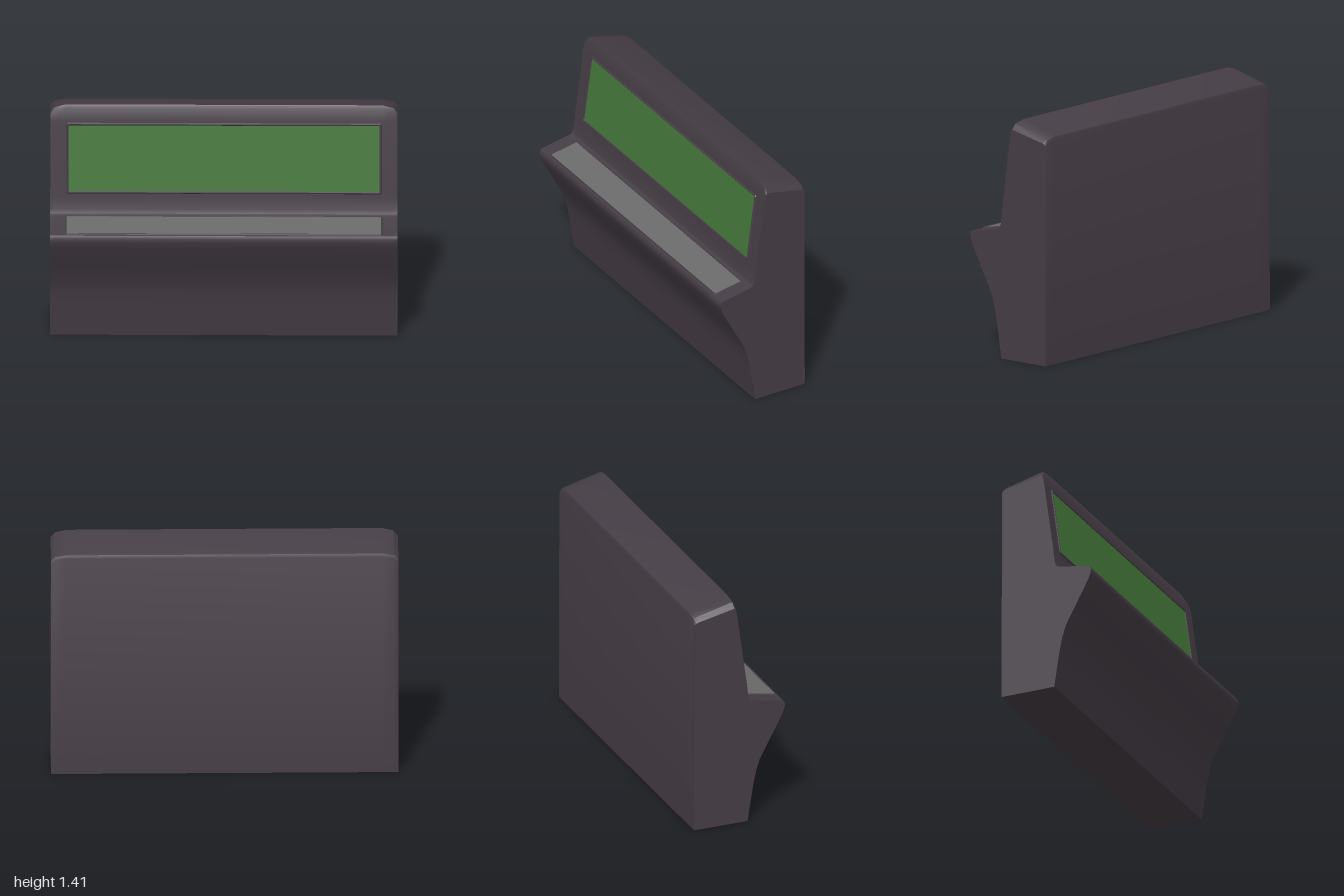
import * as THREE from 'three';
import { toCreasedNormals } from 'three/addons/utils/BufferGeometryUtils.js';

const mat = (name, color) => {
  const m = new THREE.MeshStandardMaterial({ color });
  m.name = name;
  return m;
};

// Side outline as [z, y, drop weight at the clipped top corners]
const OUTLINE = [
  [0.052, 0, 0], [0.075, 0.15, 0], [0.09, 0.24, 0], [0.105, 0.31, 0], [0.128, 0.38, 0],
  [0.2, 0.513, 0], [0.268, 0.64, 0], [0.283, 0.68, 0], [0.286, 0.703, 0], [0.278, 0.72, 0],
  [0.262, 0.726, 0], [0.08, 0.758, 0], [0.065, 0.767, 0], [0.056, 0.79, 0], [0.047, 0.87, 0],
  [-0.013, 1.31, 0], [-0.026, 1.39, 0.85], [-0.036, 1.408, 1], [-0.262, 1.347, 0.75],
  [-0.276, 1.34, 0.7], [-0.283, 1.32, 0.5], [-0.283, 0, 0],
];
// Stations across the width as [x, corner drop]
const STATIONS = [[-1, 0.048], [-0.975, 0.016], [-0.91, 0], [0.91, 0], [0.975, 0.016], [1, 0.048]];

// Cabinet lofted across the width, with lowered corners at the top
function bodyGeometry() {
  const n = OUTLINE.length;
  const positions = [];
  const index = [];
  for (const [x, drop] of STATIONS) {
    for (const [z, y, w] of OUTLINE) positions.push(x, y - drop * w, z + drop * w * 0.13);
  }
  for (let i = 0; i < STATIONS.length - 1; i++) {
    for (let j = 0; j < n; j++) {
      const k = (j + 1) % n;
      const a = i * n + j, b = i * n + k, c = b + n, d = a + n;
      index.push(a, d, c, a, c, b);
    }
  }
  // End caps
  const last = (STATIONS.length - 1) * n;
  const flat = OUTLINE.map((_, j) => new THREE.Vector2(-positions[j * 3 + 2], positions[j * 3 + 1]));
  for (const [a, b, c] of THREE.ShapeUtils.triangulateShape(flat.slice(), [])) {
    const ccw = THREE.ShapeUtils.area([flat[a], flat[b], flat[c]]) > 0;
    const [p, q] = ccw ? [b, c] : [c, b];
    index.push(last + a, last + p, last + q, a, q, p);
  }
  const g = new THREE.BufferGeometry();
  g.setAttribute('position', new THREE.Float32BufferAttribute(positions, 3));
  g.setIndex(index);
  return toCreasedNormals(g, 0.6);
}

function rectangle(Type, w, h, cut) {
  const p = [[-w + cut, -h], [w - cut, -h], [w, -h + cut], [w, h - cut],
    [w - cut, h], [-w + cut, h], [-w, h - cut], [-w, -h + cut]];
  return new Type(p.map(([x, y]) => new THREE.Vector2(x, y)));
}

// Raised bevelled rim with a coloured inset, lying on the line from (z0, y0) to (z1, y1)
function panel(name, [z0, y0], [z1, y1], halfWidth, height, rim, rimMat, insetMat) {
  const group = new THREE.Group();
  group.name = name;
  const half = Math.hypot(z1 - z0, y1 - y0) / 2;
  const shape = rectangle(THREE.Shape, halfWidth, half, 0.008);
  shape.holes.push(rectangle(THREE.Path, halfWidth - rim, half - rim, 0.002));
  const bevel = Math.min(0.007, rim * 0.4);
  const frameGeo = new THREE.ExtrudeGeometry(shape, {
    depth: height, bevelEnabled: true, bevelThickness: 0.008, bevelSize: bevel,
    bevelOffset: -bevel, bevelSegments: 1, curveSegments: 1,
  });
  frameGeo.translate(0, 0, -0.008);
  const frame = new THREE.Mesh(frameGeo, rimMat);
  frame.name = name + 'Rim';
  const inset = new THREE.Mesh(
    new THREE.BoxGeometry((halfWidth - rim + 0.002) * 2, (half - rim + 0.002) * 2, 0.008), insetMat);
  inset.name = name + 'Inset';
  inset.position.z = height - 0.007;
  group.add(frame, inset);
  group.position.set(0, (y0 + y1) / 2, (z0 + z1) / 2);
  group.rotation.x = Math.atan2(z1 - z0, y1 - y0);
  return group;
}

export function createModel() {
  const dark = mat('dark plum casing', 0x453d45);
  const green = mat('screen green', 0x44783a);
  const grey = mat('desk grey', 0x6a6a6a);

  const model = new THREE.Group();
  model.name = 'console';

  const body = new THREE.Mesh(bodyGeometry(), dark);
  body.name = 'cabinet';
  model.add(body);

  // Upright display and sloping control desk
  model.add(panel('display', [0.045, 0.882], [-0.012, 1.305], 0.912, 0.006, 0.019, dark, green));
  model.add(panel('controlDesk', [0.27, 0.724], [0.082, 0.757], 0.915, 0.006, 0.011, dark, grey));
  return model;
}
